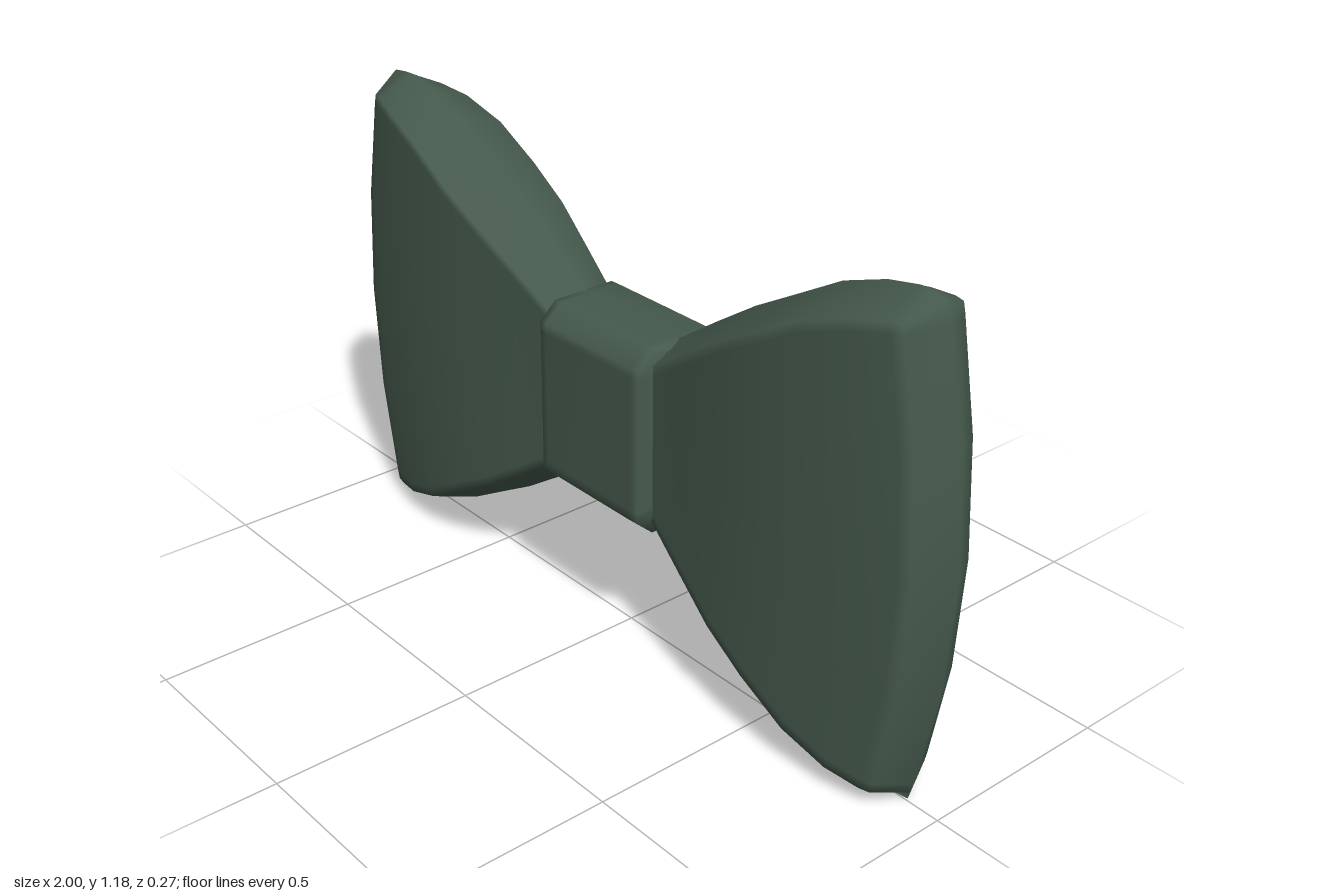
import * as THREE from 'three';
import { mergeVertices } from 'three/addons/utils/BufferGeometryUtils.js';

const MID_Y = 0.588;

// Skin a list of closed rings, each running round the +x axis
function loft(rings, mirror = 1) {
  const n = rings[0].length;
  const pos = [];
  const idx = [];
  for (const ring of rings) for (const [x, y, z] of ring) pos.push(x * mirror, y, z);
  for (let i = 0; i < rings.length - 1; i++) {
    for (let j = 0; j < n; j++) {
      const a = i * n + j, b = i * n + (j + 1) % n, c = a + n, d = b + n;
      // rings run top -> front -> bottom -> back
      if (mirror > 0) idx.push(a, b, c, b, d, c);
      else idx.push(a, c, b, b, c, d);
    }
  }
  let geo = new THREE.BufferGeometry();
  geo.setAttribute('position', new THREE.Float32BufferAttribute(pos, 3));
  geo.setIndex(idx);
  geo = mergeVertices(geo, 1e-5);
  geo.computeVertexNormals();
  return geo;
}

// Flat-faced ring with bevelled edges meeting at a ridge on top and bottom;
// bow pulls the top and bottom of the ring back toward the knot
function section(x, halfHeight, halfDepth, bevel, bow, ridge = 0) {
  const edge = halfHeight - bevel;
  const front = [
    [edge, halfDepth], [edge - 0.025, halfDepth], [edge * 0.5, halfDepth], [0, halfDepth],
    [-edge * 0.5, halfDepth], [-edge + 0.025, halfDepth], [-edge, halfDepth],
  ];
  if (ridge > 0) { // flat-topped band
    front.unshift([halfHeight, ridge]);
    front.push([-halfHeight, ridge]);
  }
  const back = front.map(([y, z]) => [y, -z]).reverse();
  const loop = [[halfHeight, 0], ...front, [-halfHeight, 0], ...back];
  return loop.map(([y, z]) => {
    const v = y / halfHeight;
    return [x - bow * v * v, MID_Y + y, z];
  });
}

export function createModel() {
  const group = new THREE.Group();
  const fabric = new THREE.MeshStandardMaterial({ color: 0x45594c });
  fabric.name = 'dark green fabric';

  // Wings: [x, half height, half depth] from the knot to the outer edge
  const profile = [
    [0.10, 0.215, 0.085], [0.17, 0.235, 0.09], [0.30, 0.315, 0.108],
    [0.43, 0.392, 0.126], [0.56, 0.458, 0.133], [0.70, 0.53, 0.128],
    [0.83, 0.572, 0.113], [0.92, 0.588, 0.092], [0.95, 0.588, 0.085], [1.0, 0.582, 0],
  ];
  const wingRings = profile.map(([x, h, d]) =>
    section(x, h, d, x === 1 ? 0.02 : 0.045, 0.085 * Math.max(0, (x - 0.17) / 0.83)));
  for (const side of [1, -1]) {
    const wing = new THREE.Mesh(loft(wingRings, side), fabric);
    wing.name = side > 0 ? 'leftWing' : 'rightWing';
    group.add(wing);
  }

  // Knot: a band wrapped round the middle, its ends turned in to the wings
  const knotProfile = [
    [-0.185, 0.222, 0.085], [-0.172, 0.232, 0.128], [-0.15, 0.232, 0.13],
    [0.15, 0.232, 0.13], [0.172, 0.232, 0.128], [0.185, 0.222, 0.085],
  ];
  const knot = new THREE.Mesh(
    loft(knotProfile.map(([x, h, d]) => section(x, h, d, 0.04, 0, d * 0.65))), fabric);
  knot.name = 'knot';
  group.add(knot);

  return group;
}
